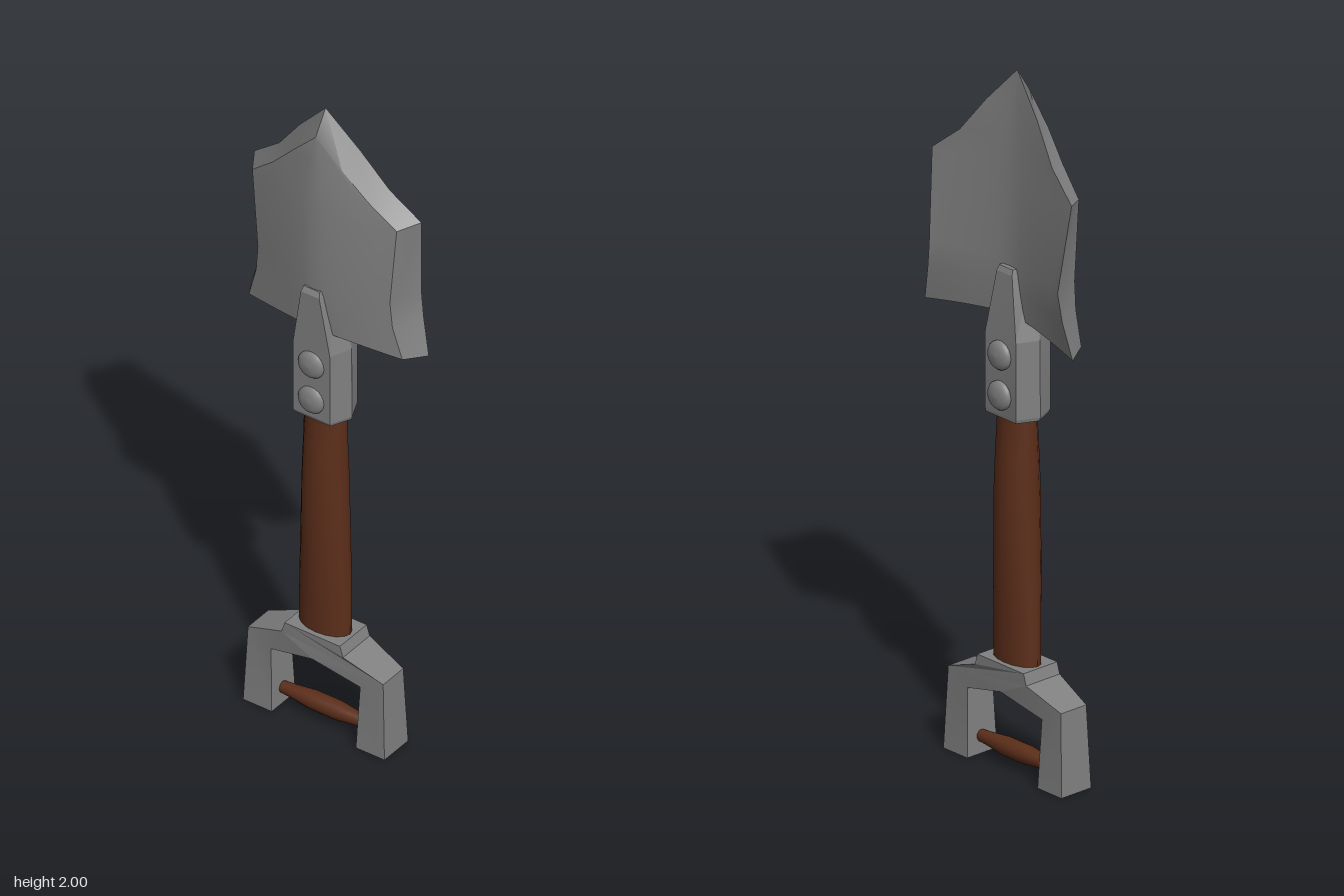
import * as THREE from 'three';
import { toCreasedNormals } from 'three/addons/utils/BufferGeometryUtils.js';

const metal = new THREE.MeshStandardMaterial({ color: 0x808080 });
metal.name = 'steel grey';
const wood = new THREE.MeshStandardMaterial({ color: 0x5c2e1a });
wood.name = 'wood brown';

// Skin a stack of equal rings (ordered from +x towards +z, bottom to top) and cap both ends.
function loft(rings, crease = 0.6) {
  const n = rings[0].length, index = [];
  const top = (rings.length - 1) * n;
  for (let i = 0; i < rings.length - 1; i++) {
    for (let j = 0; j < n; j++) {
      const a = i * n + j, b = i * n + (j + 1) % n;
      index.push(a, a + n, b, b, a + n, b + n);
    }
  }
  for (let j = 0; j < n / 2 - 1; j++) {
    const p = j, q = j + 1, r = n - 2 - j, s = n - 1 - j;
    index.push(p, q, r, p, r, s);
    index.push(top + p, top + r, top + q, top + p, top + s, top + r);
  }
  const geo = new THREE.BufferGeometry();
  geo.setAttribute('position', new THREE.Float32BufferAttribute(rings.flat(2), 3));
  geo.setIndex(index);
  return toCreasedNormals(geo, crease);
}

// One curved line across the blade, from +x to -x.
function bladeRow([w, yEdge, yMid, zEdge, zMid]) {
  const row = [];
  for (let k = 0; k <= 12; k++) {
    const u = 1 - k / 6, t = Math.pow(Math.abs(u), 1.35);
    row.push([w * u, yMid + (yEdge - yMid) * t, zMid + (zEdge - zMid) * t]);
  }
  return row;
}

function bladeGeometry() {
  // half width, edge y, middle y, edge z, middle z
  const front = [
    [0.25, 1.285, 1.31, 0, 0.05], [0.222, 1.38, 1.38, 0.006, 0.056],
    [0.215, 1.46, 1.46, 0.008, 0.06], [0.235, 1.70, 1.70, 0.005, 0.062],
    [0.155, 1.77, 1.78, 0.022, 0.057], [0.08, 1.85, 1.86, 0.037, 0.052],
    [0, 1.93, 1.93, 0.045, 0.045],
  ];
  const back = [
    [0.288, 1.275, 1.305, -0.066, -0.02], [0.262, 1.38, 1.38, -0.079, -0.024],
    [0.25, 1.46, 1.46, -0.085, -0.025], [0.272, 1.71, 1.71, -0.055, -0.02],
    [0.18, 1.785, 1.79, -0.04, -0.015], [0.10, 1.89, 1.90, -0.02, -0.01],
    [0, 2, 2, 0, 0],
  ];
  return loft(front.map((f, i) => [...bladeRow(f), ...bladeRow(back[i]).reverse()]));
}

// Six-sided socket section with ridges on its left and right.
function hexRing(y, x, flat, zFront, zBack) {
  const mid = (zFront + zBack) / 2;
  return [[x, y, mid], [flat, y, zFront], [-flat, y, zFront],
    [-x, y, mid], [-flat, y, zBack], [flat, y, zBack]];
}

function ovalRing(y, rx, rz) {
  return Array.from({ length: 16 }, (_, k) => {
    const a = k * Math.PI / 8;
    return [rx * Math.cos(a), y, rz * Math.sin(a)];
  });
}

// Forked frame: flat outline, with its depth varied from foot to collar.
function gripGeometry() {
  const half = [[0.09, 0.315], [0.1, 0.283], [0.22, 0.237], [0.23, 0],
    [0.137, 0], [0.145, 0.197]];
  const outline = [...half, [0, 0.235], ...half.map(([x, y]) => [-x, y]).reverse()];
  const shape = new THREE.Shape(outline.map(([x, y]) => new THREE.Vector2(x, y)));
  const geo = new THREE.ExtrudeGeometry(shape, { depth: 2, bevelEnabled: false });
  geo.translate(0, 0, -1);
  const pos = geo.attributes.position;
  for (let i = 0; i < pos.count; i++) {
    const x = Math.abs(pos.getX(i)), y = pos.getY(i);
    const depth = x < 0.12 ? 0.06 : y < 0.1 ? 0.053 : 0.045;
    pos.setZ(i, pos.getZ(i) * depth);
  }
  return toCreasedNormals(geo, 0.3);
}

export function createModel() {
  const group = new THREE.Group();
  const add = (name, geo, mat) => {
    const mesh = new THREE.Mesh(geo, mat);
    mesh.name = name;
    group.add(mesh);
    return mesh;
  };

  add('blade', bladeGeometry(), metal);

  // Socket with a tongue lapping both faces of the blade
  add('socket', loft([
    hexRing(1.02, 0.085, 0.058, 0.06, -0.058),
    hexRing(1.03, 0.088, 0.06, 0.064, -0.06),
    hexRing(1.25, 0.086, 0.06, 0.064, -0.06),
    hexRing(1.43, 0.04, 0.03, 0.07, -0.046),
    hexRing(1.445, 0.034, 0.026, 0.062, -0.04),
  ], 0.2), metal);

  // Domed rivets, two on each face
  const dome = new THREE.LatheGeometry(
    [[0.041, 0], [0.041, 0.007], [0.036, 0.014], [0.022, 0.02], [0, 0.022]]
      .map(([r, y]) => new THREE.Vector2(r, y)), 20);
  for (const y of [1.085, 1.2]) {
    for (const side of [1, -1]) {
      const rivet = add(side > 0 ? 'frontRivet' : 'backRivet', dome, metal);
      rivet.rotation.x = side * Math.PI / 2;
      rivet.position.set(0, y, side * 0.06);
    }
  }

  // Oval shaft that swells in the middle
  add('shaft', loft([
    [0.29, 0.08, 0.045], [0.4, 0.079, 0.048], [0.6, 0.073, 0.055],
    [0.8, 0.067, 0.058], [0.9, 0.064, 0.054], [1.04, 0.061, 0.044],
  ].map(s => ovalRing(...s))), wood);

  add('gripFrame', gripGeometry(), metal);

  // Spindle-shaped crossbar between the two legs
  const bar = add('crossbar', new THREE.LatheGeometry(
    [[0.016, -0.15], [0.02, -0.1], [0.027, -0.04], [0.027, 0.04], [0.02, 0.1], [0.016, 0.15]]
      .map(([r, y]) => new THREE.Vector2(r, y)), 14), wood);
  bar.rotation.z = Math.PI / 2;
  bar.position.y = 0.05;

  return group;
}
